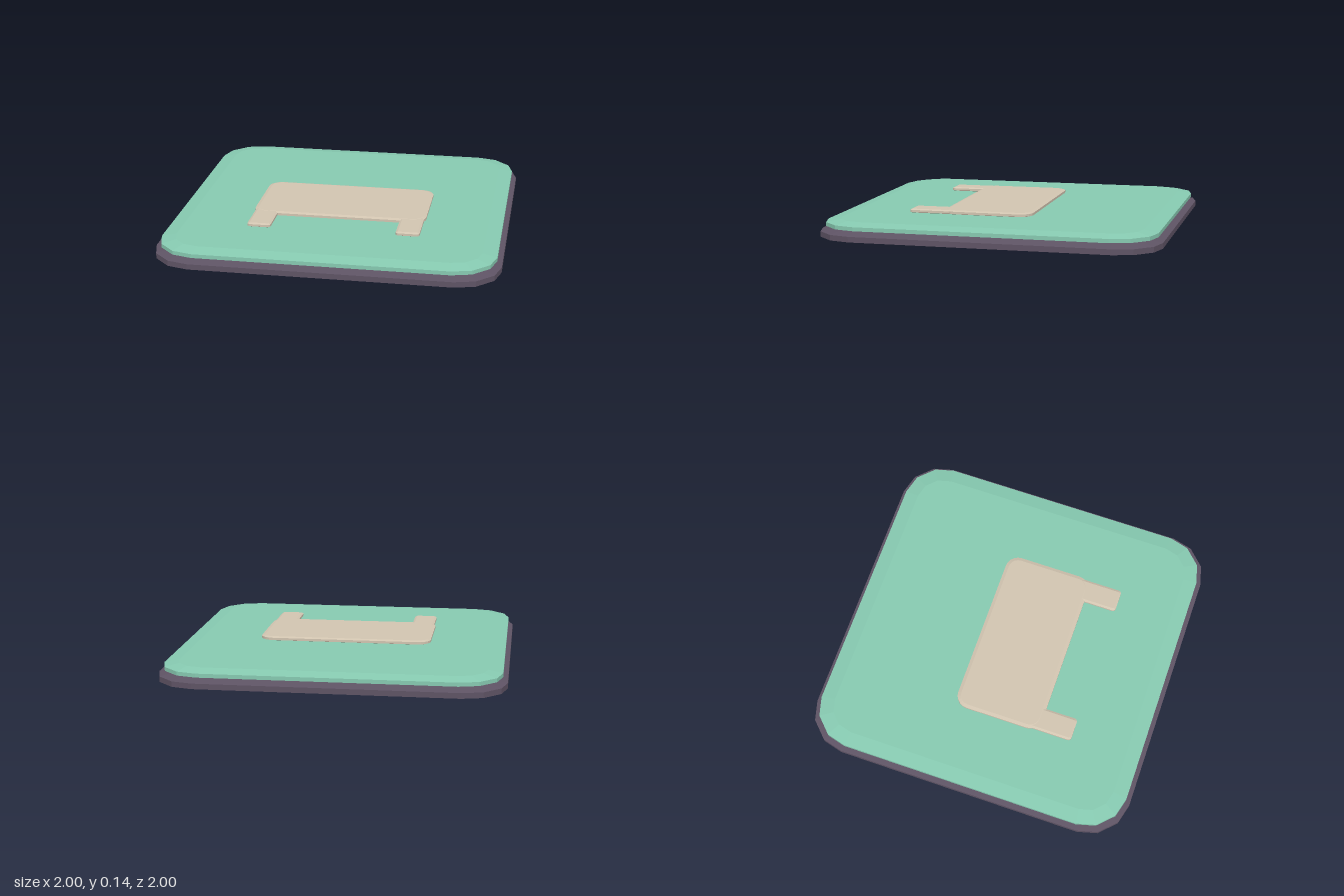
import * as THREE from 'three';

const plum = new THREE.MeshStandardMaterial({ color: 0x5e5364 });
plum.name = 'plum';
const mint = new THREE.MeshStandardMaterial({ color: 0x86c9b0 });
mint.name = 'mint';
const beige = new THREE.MeshStandardMaterial({ color: 0xd1c4b0 });
beige.name = 'beige';

// Rounded rectangle outline with a set number of segments per corner
function roundedRect(w, d, r, segments) {
  const points = [];
  const corners = [[1, 1], [-1, 1], [-1, -1], [1, -1]];
  corners.forEach(([sx, sy], i) => {
    for (let k = 0; k <= segments; k++) {
      const a = (i + k / segments) * Math.PI / 2;
      points.push(new THREE.Vector2(
        sx * (w / 2 - r) + r * Math.cos(a),
        sy * (d / 2 - r) + r * Math.sin(a)));
    }
  });
  return new THREE.Shape(points);
}

// Flat slab lying on y0, bevelled on its upper and lower rims
function slab(name, material, { w, d, r, segments, y0, y1, bevel, bevelHeight, x = 0, z = 0 }) {
  const geometry = new THREE.ExtrudeGeometry(
    roundedRect(w - 2 * bevel, d - 2 * bevel, r - bevel, segments), {
      depth: y1 - y0 - 2 * bevelHeight,
      bevelEnabled: true,
      bevelSize: bevel,
      bevelThickness: bevelHeight,
      bevelSegments: 1,
    });
  geometry.rotateX(-Math.PI / 2);
  geometry.translate(x, y0 + bevelHeight, z);
  const mesh = new THREE.Mesh(geometry, material);
  mesh.name = name;
  return mesh;
}

export function createModel() {
  const model = new THREE.Group();
  model.name = 'tile';

  // Two stacked, faceted plates
  model.add(slab('basePlate', plum, {
    w: 2, d: 2, r: 0.26, segments: 3, y0: 0, y1: 0.066, bevel: 0.09, bevelHeight: 0.017,
  }));
  model.add(slab('topPlate', mint, {
    w: 1.945, d: 1.945, r: 0.25, segments: 3, y0: 0.062, y1: 0.115, bevel: 0.085, bevelHeight: 0.015,
  }));

  // Raised emblem: a wide panel on two short legs
  const emblem = new THREE.Group();
  emblem.name = 'emblem';
  emblem.add(slab('panel', beige, {
    w: 1.04, d: 0.54, r: 0.08, segments: 5, y0: 0.113, y1: 0.139, bevel: 0.02, bevelHeight: 0.006, z: 0.078,
  }));
  for (const side of [-1, 1]) {
    emblem.add(slab(side > 0 ? 'leftLeg' : 'rightLeg', beige, {
      w: 0.14, d: 0.27, r: 0.02, segments: 3, y0: 0.113, y1: 0.138,
      bevel: 0.013, bevelHeight: 0.006, x: side * 0.44, z: 0.413,
    }));
  }
  model.add(emblem);
  return model;
}
